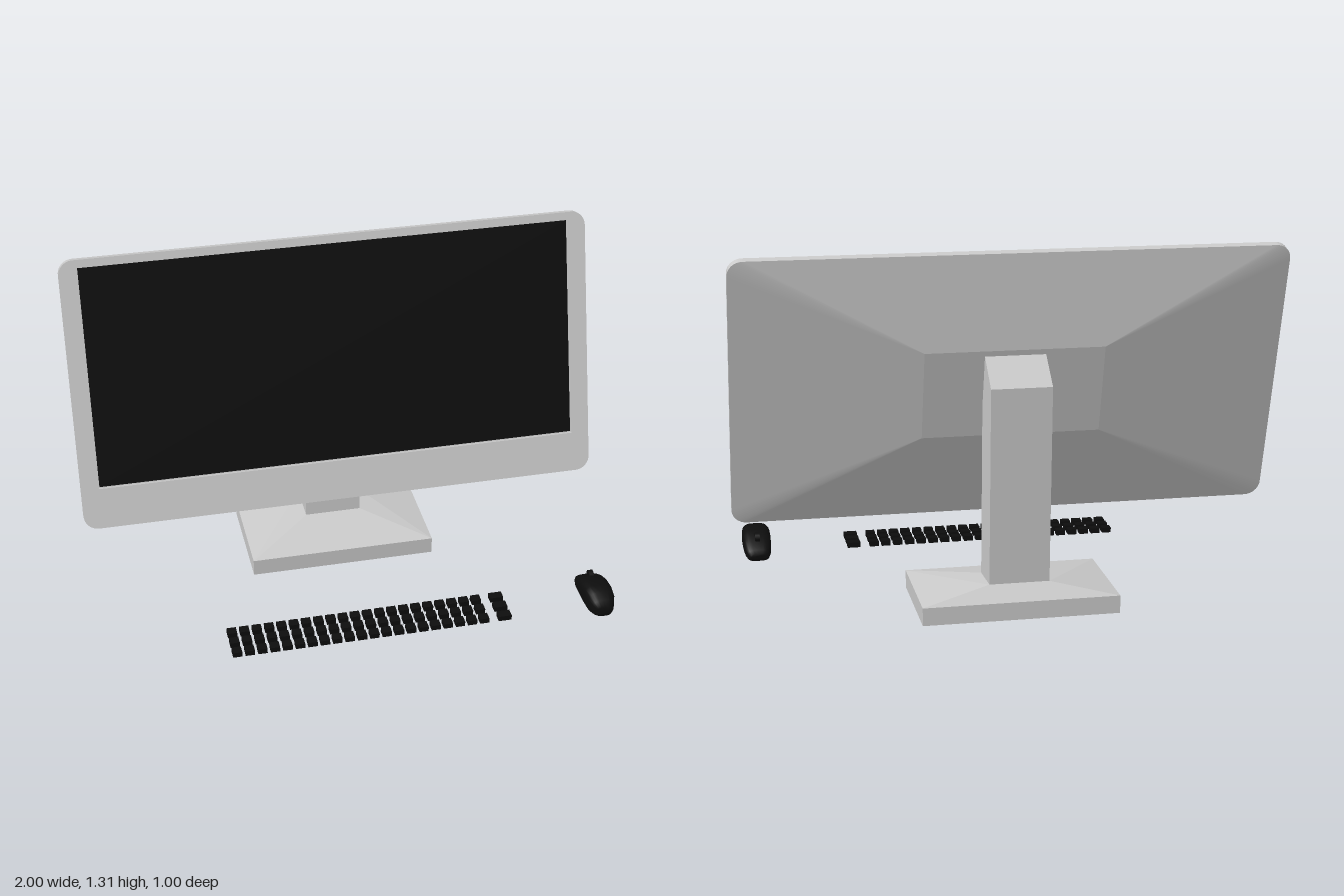
import * as THREE from 'three';
import { ConvexGeometry } from 'three/addons/geometries/ConvexGeometry.js';
import { mergeVertices } from 'three/addons/utils/BufferGeometryUtils.js';

const V = (x, y, z) => new THREE.Vector3(x, y, z);

// rectangle path with optional rounded corners
function rect(x0, y0, x1, y1, r, Type = THREE.Shape) {
  const s = new Type();
  s.moveTo(x0 + r, y0);
  s.lineTo(x1 - r, y0);
  s.absarc(x1 - r, y0 + r, r, -Math.PI / 2, 0);
  s.lineTo(x1, y1 - r);
  s.absarc(x1 - r, y1 - r, r, 0, Math.PI / 2);
  s.lineTo(x0 + r, y1);
  s.absarc(x0 + r, y1 - r, r, Math.PI / 2, Math.PI);
  s.lineTo(x0, y0 + r);
  s.absarc(x0 + r, y0 + r, r, Math.PI, Math.PI * 1.5);
  return s;
}

// mirrored pair of points for each (half width, y, z)
const pairs = (list) => list.flatMap(([x, y, z]) => [V(-x, y, z), V(x, y, z)]);

// smooth body lofted along z from rows of [z, half width, bottom, top]
function loft(rows, sides = 24) {
  const pos = [], idx = [];
  const sq = (v) => Math.sign(v) * Math.pow(Math.abs(v), 0.62);
  for (const [z, w, b, t] of rows) {
    for (let i = 0; i < sides; i++) {
      const a = (i / sides) * Math.PI * 2;
      pos.push(w * sq(Math.cos(a)), (b + t) / 2 + ((t - b) / 2) * sq(Math.sin(a)), z);
    }
  }
  for (let j = 0; j < rows.length - 1; j++) {
    for (let i = 0; i < sides; i++) {
      const a = j * sides + i, b = j * sides + ((i + 1) % sides);
      idx.push(a, b, a + sides, b, b + sides, a + sides);
    }
  }
  // end caps
  const last = (rows.length - 1) * sides;
  for (let i = 1; i < sides - 1; i++) {
    idx.push(0, i + 1, i, last, last + i, last + i + 1);
  }
  const g = new THREE.BufferGeometry();
  g.setAttribute('position', new THREE.Float32BufferAttribute(pos, 3));
  g.setIndex(idx);
  const m = mergeVertices(g);
  m.computeVertexNormals();
  return m;
}

export function createModel() {
  const silver = new THREE.MeshStandardMaterial({ color: 0xcacaca });
  silver.name = 'silver';
  const black = new THREE.MeshStandardMaterial({ color: 0x0d0d0d });
  black.name = 'black';

  const model = new THREE.Group();
  model.name = 'desktopComputer';
  const add = (parent, name, geometry, material, x = 0, y = 0, z = 0) => {
    const mesh = new THREE.Mesh(geometry, material);
    mesh.name = name;
    mesh.position.set(x, y, z);
    parent.add(mesh);
    return mesh;
  };
  const extrude = (shape, depth) =>
    new THREE.ExtrudeGeometry(shape, { depth, bevelEnabled: false, curveSegments: 6 });

  // tilted monitor, pivoting on its lower front edge
  const monitor = new THREE.Group();
  monitor.name = 'monitor';
  monitor.position.set(0, 0.307, -0.085);
  monitor.rotation.x = -0.2635;
  model.add(monitor);

  const H = 1.04, R = 0.055;
  const bezel = rect(-1, 0, 1, H, R);
  bezel.holes.push(rect(-0.933, 0.157, 0.933, 1.01, 0.001, THREE.Path));
  add(monitor, 'bezel', extrude(bezel, 0.015), silver, 0, 0, -0.015);
  add(monitor, 'backPanel', extrude(rect(-1, 0, 1, H, R), 0.014), silver, 0, 0, -0.029);
  add(monitor, 'screen', new THREE.BoxGeometry(1.858, 0.845, 0.003), black, 0, 0.5835, -0.0135);

  // rear casing tapering to a small flat rectangle
  const outline = rect(-1, 0, 1, H, R).getPoints(6).map((p) => V(p.x, p.y, -0.029));
  const rear = pairs([[0.325, 0.363, -0.107], [0.325, 0.702, -0.107]]);
  add(monitor, 'rearCasing', new ConvexGeometry([...outline, ...rear]), silver);

  // stand
  const stand = new THREE.Group();
  stand.name = 'stand';
  model.add(stand);
  const neckFoot = [[0.11, 0.11, -0.283], [0.11, 0.12, -0.446]];
  add(stand, 'neck', new ConvexGeometry(pairs([
    ...neckFoot, [0.11, 0.845, -0.481], [0.11, 0.97, -0.325],
  ])), silver);
  add(stand, 'base', new ConvexGeometry(pairs([
    [0.36, 0, -0.078], [0.36, 0, -0.5], [0.36, 0.066, -0.078], [0.36, 0.066, -0.5], ...neckFoot,
  ])), silver);

  // keyboard: three rows of loose keys, each ending in one wider key
  const keyboard = new THREE.Group();
  keyboard.name = 'keyboard';
  model.add(keyboard);
  const key = new THREE.BoxGeometry(0.035, 0.02, 0.035);
  const wideKey = new THREE.BoxGeometry(0.05, 0.02, 0.035);
  for (let row = 0; row < 3; row++) {
    const z = 0.323 + row * 0.0578;
    for (let i = 0; i < 21; i++) add(keyboard, 'key', key, black, -0.512 + i * 0.04705, 0.05, z);
    add(keyboard, 'wideKey', wideKey, black, 0.509, 0.05, z);
  }

  // mouse, nose towards the monitor
  const mouse = new THREE.Group();
  mouse.name = 'mouse';
  mouse.position.x = 0.885;
  model.add(mouse);
  add(mouse, 'mouseBody', loft([
    [0.264, 0.032, 0.024, 0.05],
    [0.272, 0.042, 0.02, 0.064],
    [0.3, 0.05, 0.02, 0.083],
    [0.33, 0.053, 0.02, 0.1],
    [0.37, 0.055, 0.02, 0.115],
    [0.42, 0.055, 0.02, 0.122],
    [0.46, 0.052, 0.022, 0.115],
    [0.487, 0.042, 0.028, 0.097],
    [0.502, 0.029, 0.034, 0.074],
  ]), black);
  const wheel = add(mouse, 'scrollWheel', new THREE.CylinderGeometry(0.02, 0.02, 0.018, 16), black, 0, 0.097, 0.325);
  wheel.rotation.z = Math.PI / 2;

  return model;
}
